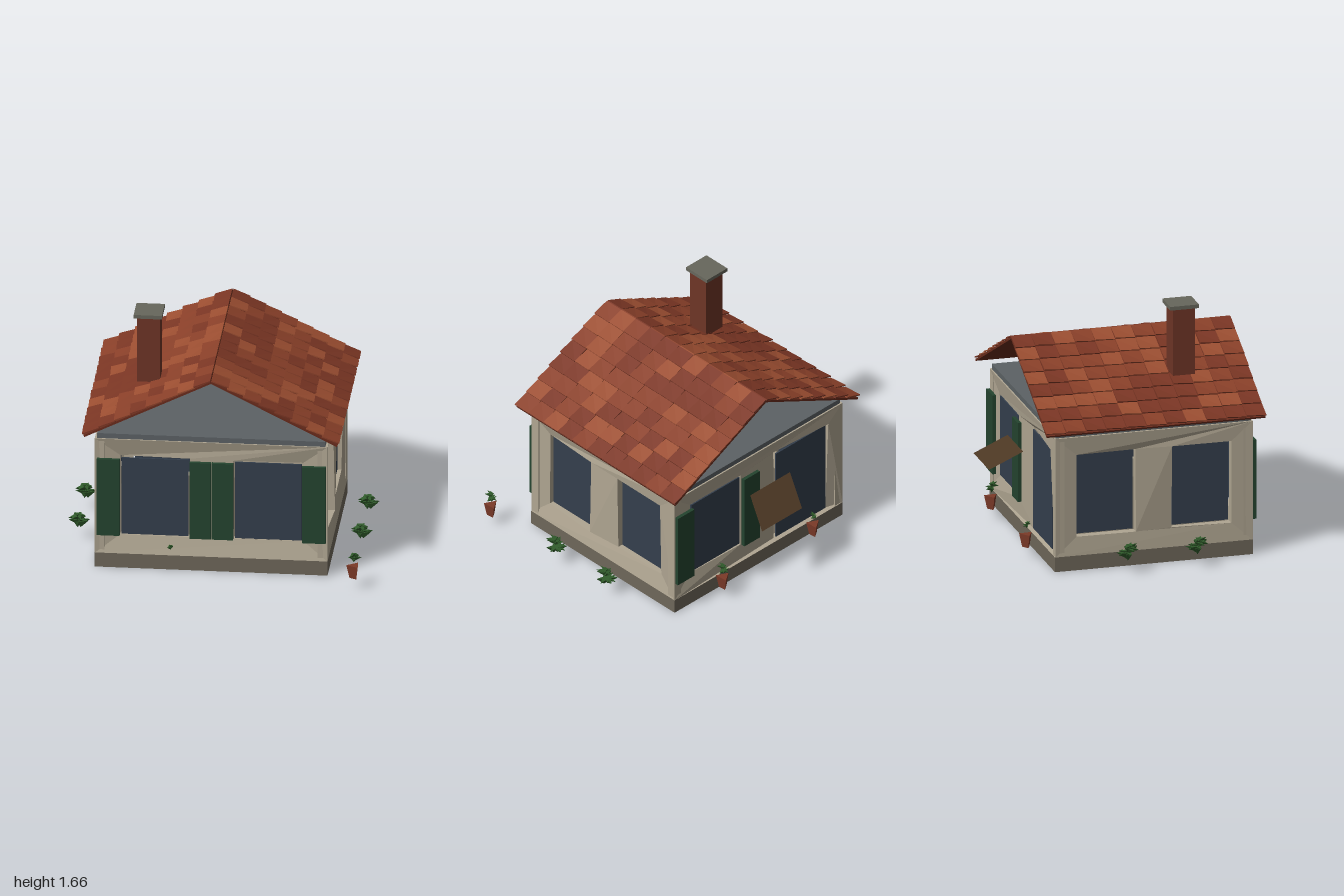
import * as THREE from 'three';
import { mergeGeometries } from 'three/addons/utils/BufferGeometryUtils.js';

const mat = (color, side = THREE.FrontSide) =>
  new THREE.MeshStandardMaterial({ color, flatShading: true, side });
const M = {
  wall: mat(0xb0a692), stone: mat(0x6e675a), slab: mat(0x5c6265), pane: mat(0x343f4d),
  shutter: mat(0x24442f), brick: mat(0x6e3526), cap: mat(0x67675c), deck: mat(0x6b2c1c),
  awning: mat(0x4c3723, THREE.DoubleSide), leaf: mat(0x2f5a2a, THREE.DoubleSide), pot: mat(0x7c3a28),
};
const tileMats = [mat(0x8a4029), mat(0x9c4e31), mat(0x7b3624)];

// Repeatable value in 0..1 from a position
const hash = (a, b, c = 0) => {
  const v = Math.sin(a * 127.1 + b * 311.7 + c * 74.7) * 43758.5453;
  return v - Math.floor(v);
};

function add(parent, name, geometry, material) {
  const mesh = new THREE.Mesh(geometry, material);
  mesh.name = name;
  parent.add(mesh);
  return mesh;
}

// Box given by its limits
function block(parent, name, material, x0, x1, y0, y1, z0, z1) {
  const g = new THREE.BoxGeometry(x1 - x0, y1 - y0, z1 - z0);
  g.translate((x0 + x1) / 2, (y0 + y1) / 2, (z0 + z1) / 2);
  return add(parent, name, g, material);
}

// Rough plaster wall with openings; local +z faces outward
function wall(parent, name, width, openings, shutters, inset) {
  const group = new THREE.Group();
  group.name = name;
  parent.add(group);
  const w = width / 2, depth = 0.065;
  const shape = new THREE.Shape();
  shape.moveTo(-w, 0.1).lineTo(w, 0.1).lineTo(w, 0.91).lineTo(-w, 0.91).closePath();
  for (const [a, b, y0, y1] of openings) {
    const hole = new THREE.Path();
    hole.moveTo(a, y0).lineTo(a, y1).lineTo(b, y1).lineTo(b, y0).closePath();
    shape.holes.push(hole);
    block(group, 'windowPane', M.pane, a + 0.01, b - 0.01, y0 + 0.01, y1 - 0.01, -inset - 0.01, -inset);
  }
  const g = new THREE.ExtrudeGeometry(shape, { depth, bevelEnabled: false });
  const p = g.attributes.position;
  // Sink the opening corners unevenly so the faces fold
  for (let i = 0; i < p.count; i++) {
    const x = p.getX(i), y = p.getY(i);
    if (p.getZ(i) > depth / 2 && Math.abs(x) < w - 0.001) p.setZ(i, depth - 0.035 * hash(x, y, width));
  }
  g.translate(0, 0, -depth);
  g.computeVertexNormals();
  add(group, 'wallPanel', g, M.wall);
  for (const [a, b] of shutters) block(group, 'shutter', M.shutter, a, b, 0.235, 0.775, 0.002, 0.026);
  return group;
}

// One roof slope, side = 1 or -1
function roofSlope(parent, side, run) {
  const group = new THREE.Group();
  group.name = side > 0 ? 'leftRoofSlope' : 'rightRoofSlope';
  group.position.set(-0.01, 1.368, 0.015);
  group.rotation.z = -side * Math.atan2(0.415, run);
  parent.add(group);
  const length = Math.hypot(run, 0.415), step = length / 8, pitch = 1.49 / 11;
  block(group, 'roofDeck', M.deck, Math.min(0, side * length), Math.max(0, side * length), -0.008, 0.006, -0.74, 0.74);
  const shades = [[], [], []];
  for (let i = 0; i < 8; i++) for (let j = 0; j < 11; j++) {
    const g = new THREE.BoxGeometry(step * 1.03, 0.008, pitch * 0.98);
    const p = g.attributes.position;
    for (let k = 0; k < p.count; k++) {
      const x = p.getX(k) * side, z = p.getZ(k);
      // Lower edge stands proud, one corner more than the other
      if (x > 0) p.setY(k, p.getY(k) + 0.008 + (z * side > 0 ? 0.013 : 0) * (0.5 + 0.5 * hash(i, j)));
    }
    g.translate(side * (i + 0.5) * step, 0.01, (j - 5) * pitch + 0.004 * (hash(j, i, 2) - 0.5));
    shades[Math.floor(hash(i + 1, j + 1, side + 3) * 3)].push(g);
  }
  shades.forEach((list, n) => {
    const g = mergeGeometries(list);
    g.computeVertexNormals();
    add(group, 'roofTiles', g, tileMats[n]);
  });
}

// Spiky clump of three-sided leaves
function clump(parent, name, x, y, z, r, count) {
  const leaves = [];
  for (let i = 0; i < count; i++) {
    const g = new THREE.ConeGeometry(r * 0.38, r * 1.0, 3);
    const a = i * 2.4, spread = r * (0.3 + 0.3 * hash(i, 4));
    g.rotateX(1.0 + 0.7 * hash(i, 7));
    g.rotateY(a);
    g.translate(Math.sin(a) * spread, r * 0.8 * (hash(i, 2, 5) - 0.5), Math.cos(a) * spread);
    leaves.push(g);
  }
  add(parent, name, mergeGeometries(leaves), M.leaf).position.set(x, y, z);
}

export function createModel() {
  const house = new THREE.Group();
  house.name = 'cottage';

  block(house, 'foundation', M.stone, -0.775, 0.745, 0, 0.1, -0.65, 0.69);
  block(house, 'atticFloor', M.slab, -0.76, 0.73, 0.91, 0.945, -0.64, 0.68);

  // Walls, panes and shutters
  const cx = -0.015, cz = 0.02, y0 = 0.225, y1 = 0.785;
  const front = wall(house, 'frontWall', 1.515,
    [[-0.595, -0.14, y0, y1], [0.145, 0.6, y0, y1]],
    [[-0.745, -0.595], [-0.14, 0], [0.005, 0.145], [0.595, 0.75]], 0.015);
  front.position.set(cx, 0, 0.69);
  const back = wall(house, 'backWall', 1.515,
    [[-0.6, -0.145, y0, y1], [0.165, 0.635, 0.105, 0.8]],
    [[-0.755, -0.605], [-0.155, -0.015]], 0.02);
  back.position.set(cx, 0, -0.65);
  back.rotation.y = Math.PI;
  for (const s of [1, -1]) {
    const holes = [[0.145, 0.545], [-0.5, -0.1]].map(([a, b]) => {
      const u = -s * (a - cz), v = -s * (b - cz);
      return [Math.min(u, v), Math.max(u, v), y0, y1];
    });
    const side = wall(house, s > 0 ? 'leftWall' : 'rightWall', 1.33, holes, [], 0.05);
    side.position.set(s > 0 ? 0.745 : -0.775, 0, cz);
    side.rotation.y = s * Math.PI / 2;
  }

  // Roof
  roofSlope(house, 1, 0.825);
  roofSlope(house, -1, 0.83);

  // Chimney
  block(house, 'chimney', M.brick, -0.53, -0.38, 1.185, 1.645, 0.22, 0.37);
  block(house, 'chimneyCap', M.cap, -0.55, -0.365, 1.64, 1.665, 0.195, 0.39);

  // Slanted awning over the back door
  const awning = new THREE.BufferGeometry();
  awning.setAttribute('position', new THREE.Float32BufferAttribute([
    -0.15, 0.525, -0.915, 0.21, 0.525, -0.915, 0.12, 0.66, -0.71, -0.24, 0.66, -0.71], 3));
  awning.setIndex([0, 3, 2, 0, 2, 1]);
  awning.computeVertexNormals();
  add(house, 'awning', awning, M.awning);

  // Bushes along the sides and a sprig at the front
  for (const x of [-0.925, 0.92]) for (const z of [-0.2, 0.27]) clump(house, 'bush', x, 0.155, z, 0.075, 14);
  clump(house, 'sprig', -0.28, 0.16, 0.69, 0.03, 6);

  // Potted plants
  for (const [x, z] of [[0.935, 0.865], [0.39, -0.74], [-0.425, -0.74]]) {
    const pot = add(house, 'pot', new THREE.CylinderGeometry(0.05, 0.03, 0.09, 3), M.pot);
    pot.position.set(x, 0.115, z);
    pot.rotation.y = 0.6;
    clump(house, 'pottedPlant', x, 0.225, z, x < 0 ? 0.03 : 0.048, 8);
  }
  return house;
}
